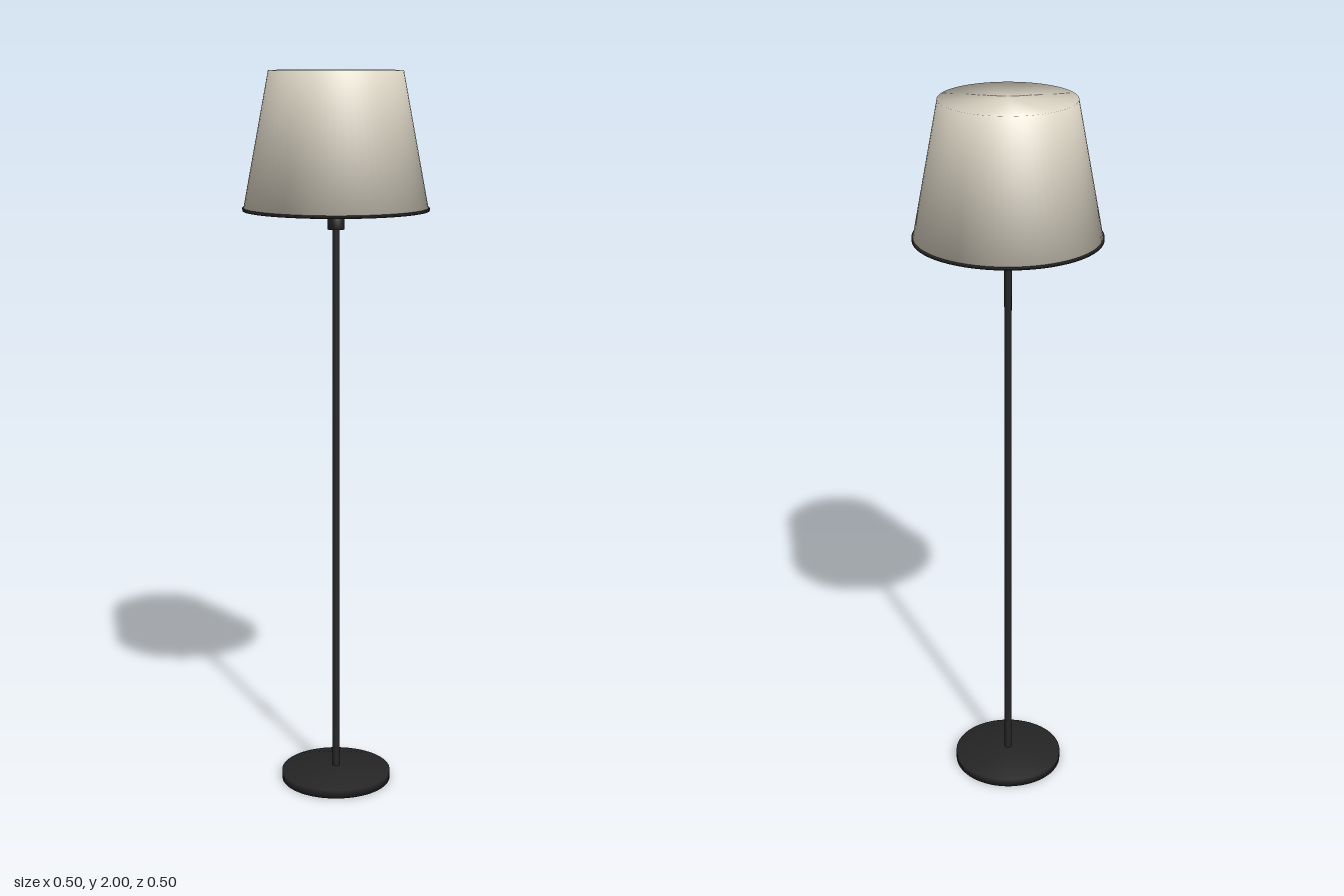
import * as THREE from 'three';

export function createModel() {
  const group = new THREE.Group();
  const fabric = new THREE.MeshStandardMaterial({ color: 0xddd6c6 });
  fabric.name = 'cream fabric';
  const metal = new THREE.MeshStandardMaterial({ color: 0x252525 });
  metal.name = 'black metal';

  // Solid of revolution from [radius, height] points, listed from bottom to top
  const turn = (name, material, profile, sides = 64) => {
    const points = profile.map(([r, y]) => new THREE.Vector2(r, y));
    const mesh = new THREE.Mesh(new THREE.LatheGeometry(points, sides), material);
    mesh.name = name;
    group.add(mesh);
  };

  // Round foot with a shallow raised top
  turn('base', metal, [[0, 0], [0.155, 0], [0.155, 0.024], [0.04, 0.035], [0, 0.036]]);

  // Slim upright and the socket under the shade
  turn('pole', metal, [[0.01, 0.03], [0.01, 1.6]], 24);
  turn('socket', metal, [[0, 1.58], [0.023, 1.58], [0.023, 1.635], [0, 1.635]], 32);

  // Thin dark plate closing the shade from below, its edge showing as a trim
  turn('shadeTrim', metal, [[0, 1.631], [0.252, 1.631], [0.252, 1.639], [0, 1.639]]);

  // Closed tapered shade, softly shaded over its edges
  turn('shade', fabric, [[0, 1.637], [0.249, 1.637], [0.18, 2], [0, 2]]);

  return group;
}
